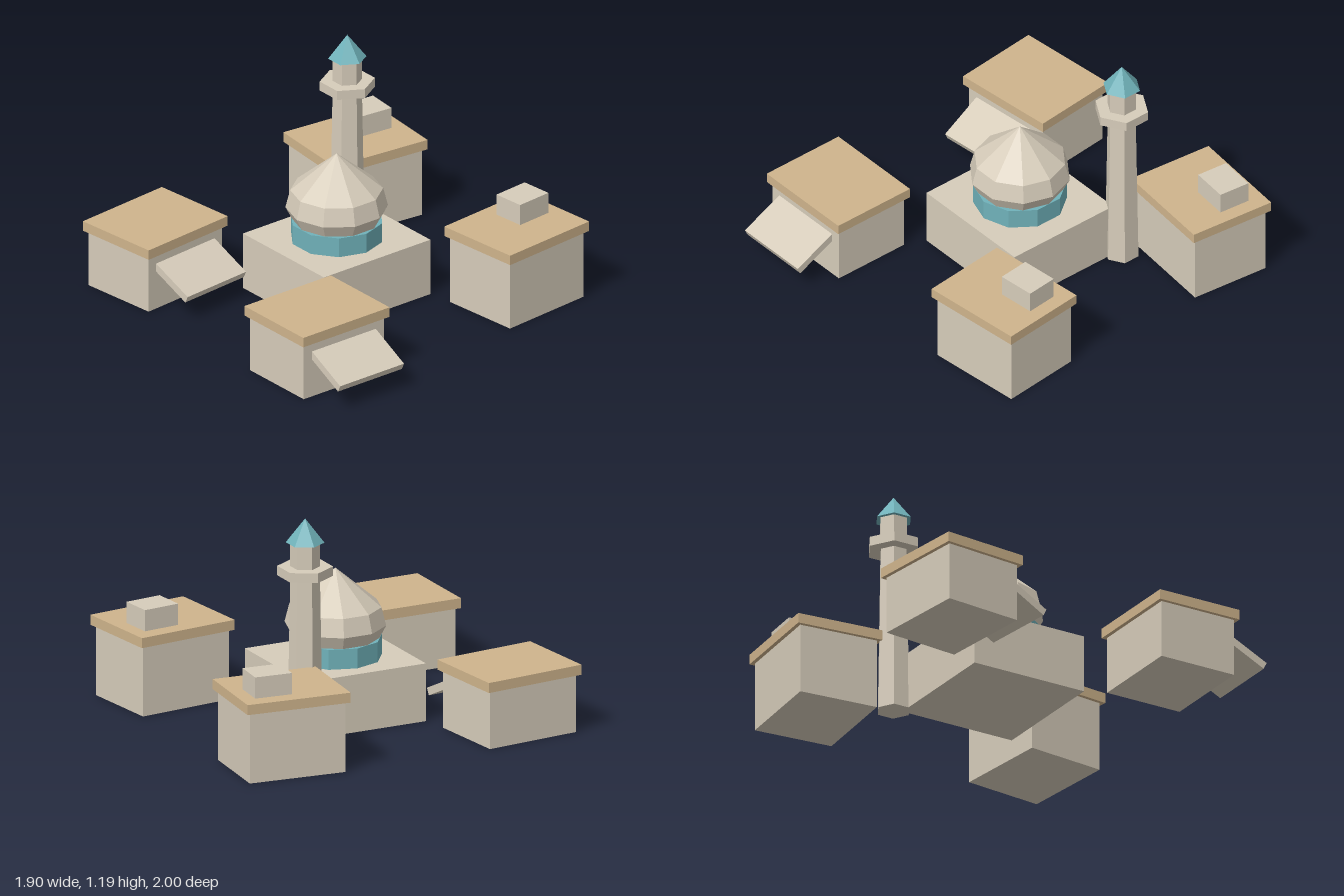
import * as THREE from 'three';

const mat = (name, color) => {
  const m = new THREE.MeshStandardMaterial({ color, flatShading: true });
  m.name = name;
  return m;
};

export function createModel() {
  const stone = mat('sandstone', 0xd6ccba);
  const clay = mat('clayRoof', 0xcfb48c);
  const teal = mat('tealTile', 0x70b2ba);

  const add = (parent, name, geometry, material, x, y, z) => {
    const mesh = new THREE.Mesh(geometry, material);
    mesh.name = name;
    mesh.position.set(x, y, z);
    parent.add(mesh);
    return mesh;
  };
  // Boxes and prisms are placed by the height of their underside
  const box = (parent, name, material, w, h, d, x, y, z) =>
    add(parent, name, new THREE.BoxGeometry(w, h, d), material, x, y + h / 2, z);
  const prism = (parent, name, material, rTop, rBottom, y0, y1, sides) =>
    add(parent, name, new THREE.CylinderGeometry(rTop, rBottom, y1 - y0, sides), material, 0, (y0 + y1) / 2, 0);

  const model = new THREE.Group();
  model.name = 'domedCourtyard';

  const section = (name, x, z) => {
    const g = new THREE.Group();
    g.name = name;
    g.position.set(x, 0, z);
    model.add(g);
    return g;
  };

  // Domed hall
  const hall = section('domedHall', 0, -0.09);
  box(hall, 'hallBlock', stone, 0.69, 0.305, 0.65, 0, 0, 0);
  prism(hall, 'drum', teal, 0.238, 0.238, 0.305, 0.41, 10);
  const profile = [[0, 0.405], [0.222, 0.405], [0.259, 0.477], [0.235, 0.572], [0, 0.772]]
    .map(([r, y]) => new THREE.Vector2(r, y));
  const dome = add(hall, 'dome', new THREE.LatheGeometry(profile, 10), stone, 0, 0, 0);
  dome.rotation.y = Math.PI / 10;

  // Tower with balcony and pointed cap
  const tower = section('tower', 0.364, -0.455);
  prism(tower, 'towerShaft', stone, 0.075, 0.09, 0, 0.885, 6);
  prism(tower, 'balcony', stone, 0.141, 0.141, 0.885, 0.935, 6);
  prism(tower, 'towerTop', stone, 0.076, 0.076, 0.935, 1.06, 6);
  prism(tower, 'towerCap', teal, 0, 0.098, 1.06, 1.187, 6);

  // Flat-roofed houses: the low ones have an awning, the tall ones a roof hut
  const house = (name, x, z, turn, wallHeight, low) => {
    const g = section(name, x, z);
    g.rotation.y = turn;
    box(g, 'walls', stone, 0.52, wallHeight, 0.43, 0, 0, 0);
    box(g, 'flatRoof', clay, 0.56, 0.053, 0.472, 0, wallHeight, 0);
    if (low) {
      const awning = add(g, 'awning', new THREE.BoxGeometry(0.414, 0.04, 0.26), stone, 0, 0.181, 0.316);
      awning.rotation.x = 0.45;
    } else {
      box(g, 'roofHut', stone, 0.2, 0.112, 0.17, 0.104, wallHeight + 0.053, -0.064);
    }
  };
  house('frontRightHouse', -0.651, 0.558, 0, 0.305, true);
  house('backRightHouse', -0.65, -0.74, 0.1, 0.305, true);
  house('backLeftHouse', 0.647, -0.74, -0.1, 0.37, false);
  house('frontLeftHouse', 0.645, 0.556, 0.1, 0.37, false);

  return model;
}
